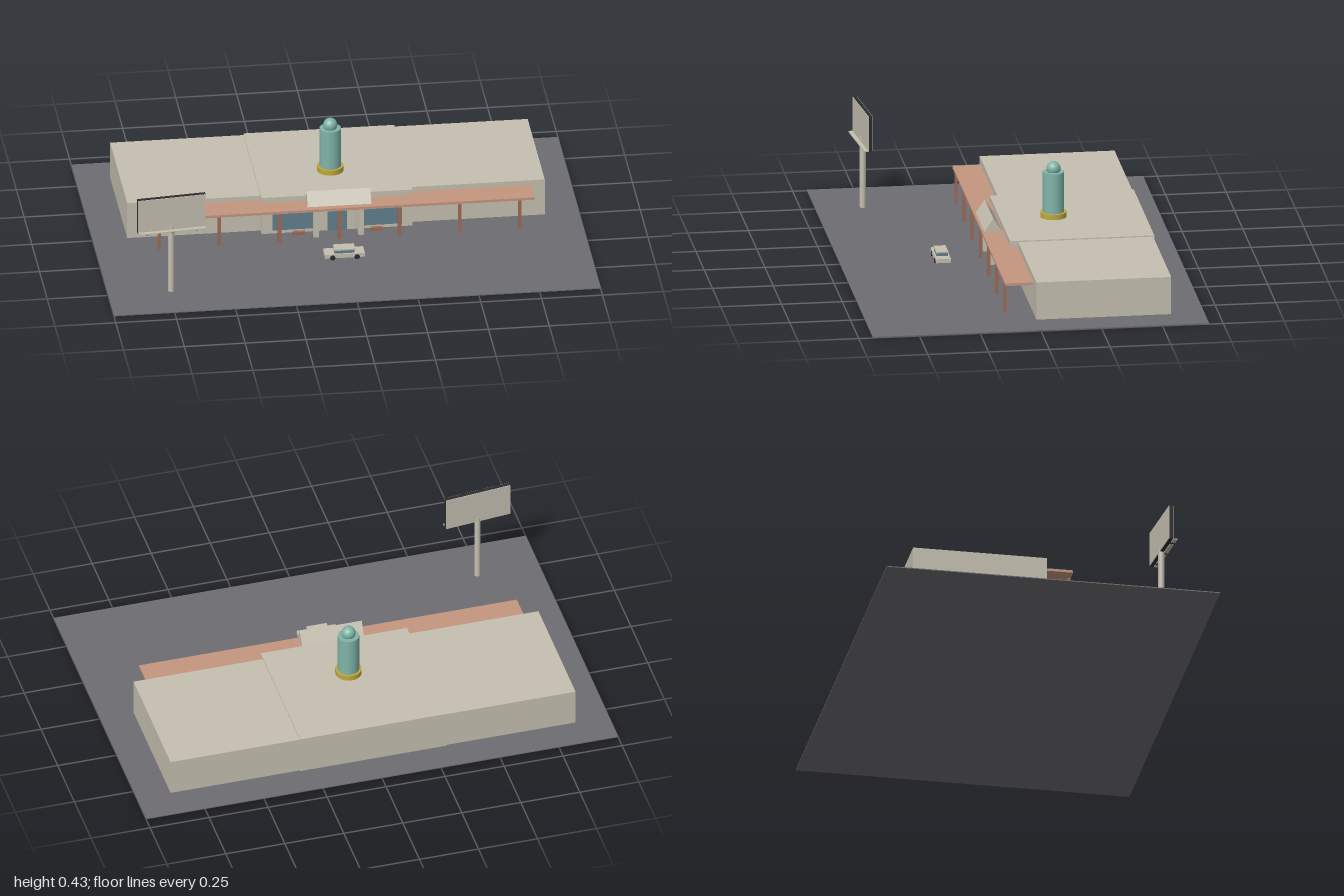
import * as THREE from 'three';

export function createModel() {
  const root = new THREE.Group();
  const mat = (name, color) => Object.assign(new THREE.MeshStandardMaterial({ color }), { name });
  const stone = mat('stone', 0xc5bfb0);
  const asphalt = mat('asphalt', 0x6d6c72);
  const copper = mat('copper roof', 0xc4967f);
  const rust = mat('rust posts', 0xa06a55);
  const teal = mat('teal', 0x80b5a9);
  const gold = mat('gold', 0xc0a83c);
  const glass = mat('glass', 0x607f8d);
  const dark = mat('dark', 0x2c2c2f);

  const add = (name, geo, m, x, y, z, parent = root) => {
    const mesh = new THREE.Mesh(geo, m);
    mesh.name = name;
    mesh.position.set(x, y, z);
    parent.add(mesh);
    return mesh;
  };
  // box given by its limits on each axis
  const box = (name, m, x0, x1, y0, y1, z0, z1, parent = root) =>
    add(name, new THREE.BoxGeometry(x1 - x0, y1 - y0, z1 - z0), m,
      (x0 + x1) / 2, (y0 + y1) / 2, (z0 + z1) / 2, parent);

  // ground and building
  box('ground', asphalt, -1, 1, 0, 0.004, -0.692, 0.692);
  box('leftWing', stone, 0.31, 0.858, 0.004, 0.163, -0.555, 0);
  box('rightWing', stone, -0.858, -0.31, 0.004, 0.163, -0.555, 0);
  box('centreHall', stone, -0.31, 0.31, 0.004, 0.168, -0.56, 0.033);

  // shop windows with frames, benches and entrance
  for (const s of [-1, 1]) {
    add('window', new THREE.BoxGeometry(0.19, 0.1, 0.006), glass, s * 0.175, 0.07, 0.036);
    for (const x of [0.08, 0.27]) {
      add('windowFrame', new THREE.BoxGeometry(0.008, 0.108, 0.01), stone, s * x, 0.07, 0.037);
    }
    add('bench', new THREE.BoxGeometry(0.05, 0.014, 0.015), rust, s * 0.16, 0.011, 0.055);
  }
  box('entranceDoor', glass, -0.04, 0.04, 0.004, 0.09, 0.033, 0.038);

  // covered walkway
  box('walkwayRoof', copper, -0.8, 0.8, 0.134, 0.145, 0.004, 0.12);
  for (let i = -3; i <= 3; i++) {
    add('walkwayPost', new THREE.BoxGeometry(0.014, 0.13, 0.012), rust, i * 0.247, 0.069, 0.113);
  }

  // entrance gable on two columns
  const tri = new THREE.Shape([
    new THREE.Vector2(-0.036, 0), new THREE.Vector2(0.036, 0), new THREE.Vector2(0, 0.055)]);
  const gable = new THREE.ExtrudeGeometry(tri, { depth: 0.262, bevelEnabled: false });
  gable.rotateY(Math.PI / 2);
  add('entranceGable', gable, stone, -0.131, 0.155, 0.078);
  for (const x of [-0.092, 0.092]) {
    add('gableColumn', new THREE.BoxGeometry(0.022, 0.153, 0.026), stone, x, 0.08, 0.078);
  }

  // roof tower
  const tower = new THREE.Group();
  tower.name = 'tower';
  tower.position.set(0, 0.168, -0.187);
  root.add(tower);
  add('towerBase', new THREE.CylinderGeometry(0.054, 0.054, 0.022, 24), gold, 0, 0.011, 0, tower);
  add('towerShaft', new THREE.CylinderGeometry(0.044, 0.044, 0.17, 24), teal, 0, 0.107, 0, tower);
  add('towerBall', new THREE.SphereGeometry(0.029, 24, 16), teal, 0, 0.206, 0, tower);

  // billboard with catwalk, slightly turned
  const sign = new THREE.Group();
  sign.name = 'billboard';
  sign.position.set(-0.74, 0, 0.497);
  sign.rotation.y = 0.1;
  root.add(sign);
  add('signPole', new THREE.CylinderGeometry(0.013, 0.013, 0.303, 16), stone, 0, 0.155, 0, sign);
  box('signCore', dark, -0.142, 0.142, 0.284, 0.434, -0.007, 0.007, sign);
  box('signFront', stone, -0.14, 0.14, 0.286, 0.432, 0.007, 0.01, sign);
  box('signBack', stone, -0.14, 0.14, 0.286, 0.432, -0.01, -0.007, sign);
  box('catwalk', stone, -0.14, 0.14, 0.283, 0.288, 0.01, 0.027, sign);
  for (const x of [-0.105, 0, 0.105]) {
    box('catwalkBracket', dark, x - 0.004, x + 0.004, 0.28, 0.283, 0.007, 0.025, sign);
  }

  // parked car
  const car = new THREE.Group();
  car.name = 'car';
  car.position.set(-0.002, 0.004, 0.276);
  root.add(car);
  box('carBody', stone, -0.082, 0.082, 0.009, 0.026, -0.031, 0.031, car);
  box('carWindows', glass, -0.041, 0.041, 0.026, 0.039, -0.023, 0.023, car);
  box('carRoof', stone, -0.043, 0.043, 0.039, 0.045, -0.025, 0.025, car);
  const wheel = new THREE.CylinderGeometry(0.011, 0.011, 0.008, 14).rotateX(Math.PI / 2);
  for (const x of [-0.05, 0.05]) {
    for (const z of [-0.029, 0.029]) add('wheel', wheel, dark, x, 0.011, z, car);
  }
  return root;
}
